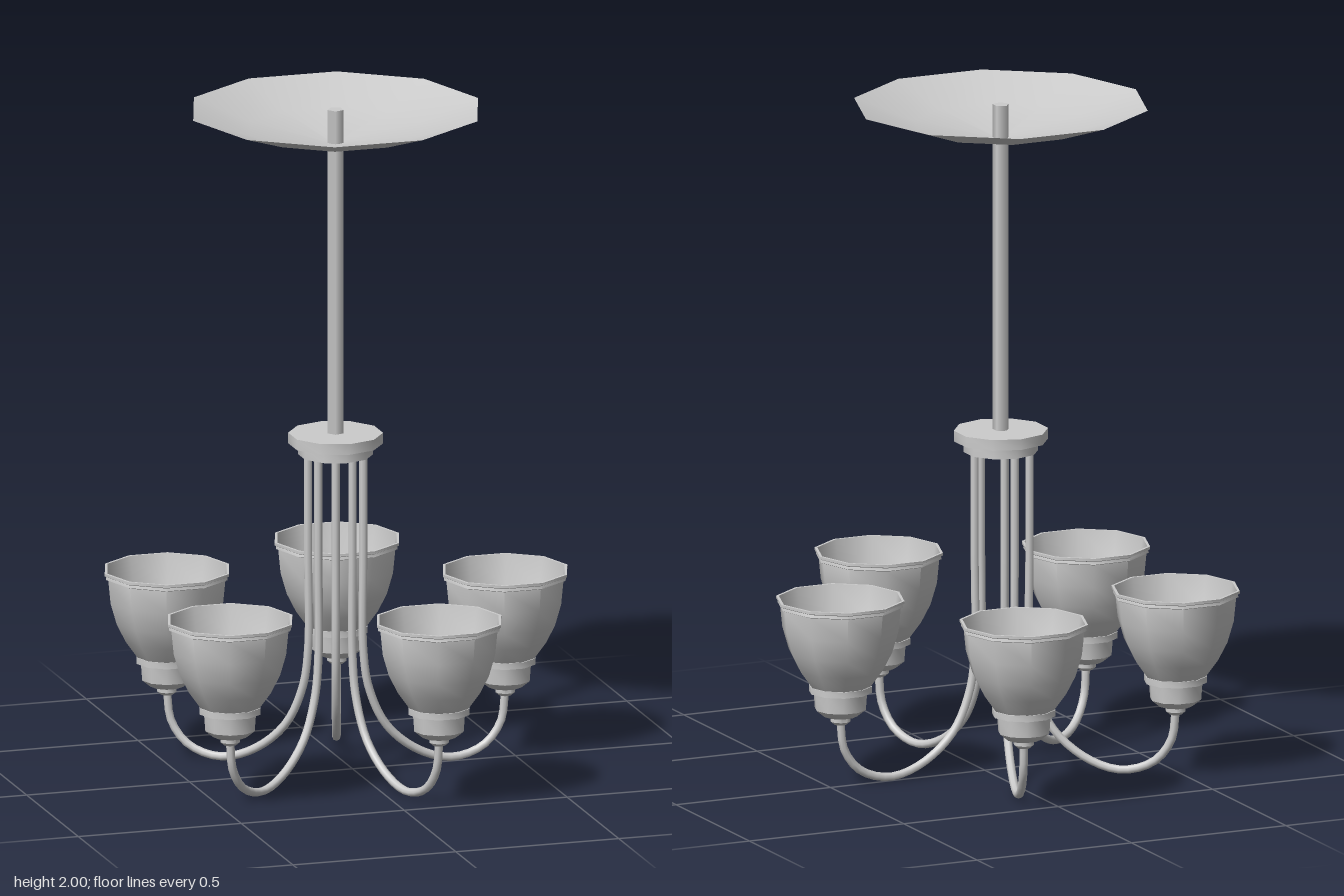
import * as THREE from 'three';
import { toCreasedNormals } from 'three/addons/utils/BufferGeometryUtils.js';

const material = new THREE.MeshStandardMaterial({ color: 0xcccccc, side: THREE.DoubleSide });

// Turned part from [radius, height] pairs, listed from bottom to top on the outside
function turned(name, profile, sides, turn = 0) {
  const points = profile.map(([r, y]) => new THREE.Vector2(r, y));
  const geometry = new THREE.LatheGeometry(points, sides);
  geometry.rotateY(turn);
  const mesh = new THREE.Mesh(toCreasedNormals(geometry, 0.7), material);
  mesh.name = name;
  return mesh;
}

// One arm with its socket and shade, reaching out along +x
function createLamp() {
  const lamp = new THREE.Group();
  lamp.name = 'lamp';
  const reach = 0.52;

  const path = new THREE.CatmullRomCurve3([
    [0.085, 0.97], [0.085, 0.65], [0.085, 0.36], [0.103, 0.24], [0.157, 0.125],
    [0.256, 0.043], [0.36, 0.0135], [0.455, 0.043], [0.507, 0.11], [reach, 0.2],
  ].map(([x, y]) => new THREE.Vector3(x, y, 0)));
  const arm = new THREE.Mesh(new THREE.TubeGeometry(path, 48, 0.0125, 8), material);
  arm.name = 'arm';

  const socket = turned('socket', [
    [0, 0.188], [0.018, 0.188], [0.03, 0.198], [0.03, 0.21], [0.05, 0.214],
    [0.076, 0.235], [0.08, 0.287], [0.094, 0.287], [0.094, 0.306], [0, 0.306],
  ], 10, Math.PI / 2);

  // Bell outside, rolled rim, then the inner wall back down
  const shade = turned('shade', [
    [0.09, 0.305], [0.126, 0.355], [0.154, 0.41], [0.173, 0.475], [0.18, 0.545],
    [0.187, 0.548], [0.185, 0.556], [0.191, 0.559], [0.191, 0.567], [0.183, 0.567],
    [0.168, 0.475], [0.148, 0.41], [0.12, 0.355], [0.08, 0.318], [0, 0.308],
  ], 10, Math.PI / 2);

  socket.position.x = shade.position.x = reach;
  lamp.add(arm, socket, shade);
  return lamp;
}

export function createModel() {
  const model = new THREE.Group();
  model.name = 'chandelier';

  // Shallow open ceiling dish
  model.add(turned('ceilingDish', [[0, 1.9], [0.02, 1.9], [0.26, 1.94], [0.437, 2]], 10, Math.PI / 2));

  // Pole running from the dish through the hub
  const pole = new THREE.Mesh(
    new THREE.CylinderGeometry(0.025, 0.025, 1.06, 5).rotateY(-Math.PI / 2), material);
  pole.name = 'pole';
  pole.position.y = 1.47;
  model.add(pole);

  // Stepped hub that holds the arms
  model.add(turned('hub', [
    [0, 0.957], [0.11, 0.957], [0.11, 0.99], [0.139, 0.99], [0.139, 1.022], [0, 1.022],
  ], 10));

  // Five lamps around the pole
  for (let i = 0; i < 5; i++) {
    const lamp = createLamp();
    lamp.rotation.y = (i * Math.PI * 2) / 5;
    model.add(lamp);
  }

  // The pole sits off centre so the five-fold ring is centred
  model.position.x = -0.052;
  const root = new THREE.Group();
  root.name = 'ceilingLight';
  root.add(model);
  return root;
}
